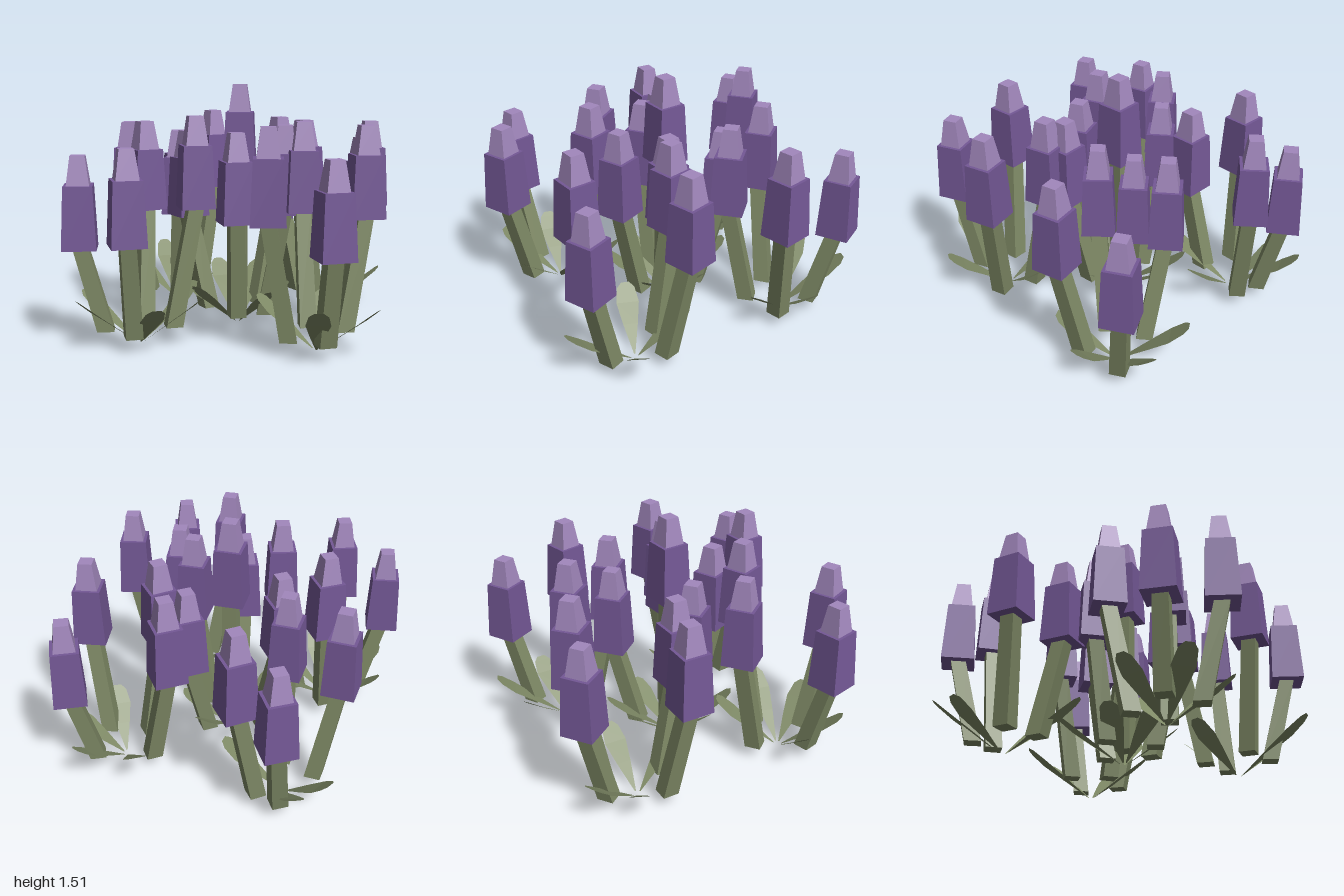
import * as THREE from 'three';

const green = new THREE.MeshStandardMaterial({ color: 0x7f8a66, flatShading: true, side: THREE.DoubleSide });
green.name = 'leafGreen';
const purple = new THREE.MeshStandardMaterial({ color: 0x745896, flatShading: true });
purple.name = 'petalPurple';
const lilac = new THREE.MeshStandardMaterial({ color: 0xa288bd, flatShading: true });
lilac.name = 'tipLilac';

// Clumps: centre [x, z]
// flowers: [head x, head z, top height, turn in degrees]
// leaves: [direction in degrees from +x towards +z, reach]
const clumps = [
  { centre: [-0.51, -0.52],
    flowers: [[-0.56, -0.865, 1.15, 36], [-0.30, -0.80, 1.30, 42], [-0.785, -0.325, 1.245, 0], [-0.42, -0.20, 1.20, 2]],
    leaves: [[204, 0.36], [245, 0.44], [1, 0.39], [66, 0.44]] },
  { centre: [0.54, -0.53],
    flowers: [[0.20, -0.59, 1.27, 40], [0.755, -0.79, 1.12, 30], [0.815, -0.335, 1.266, 14], [0.395, -0.225, 1.275, 45]],
    leaves: [[235, 0.43], [288, 0.43], [-2, 0.35], [57, 0.37]] },
  { centre: [0, 0],
    flowers: [[-0.325, -0.03, 1.215, 39], [0.015, 0, 1.508, 5], [0.185, -0.305, 1.16, 41], [0.04, 0.335, 1.235, 24], [0.315, 0.155, 1.27, 6]],
    leaves: [[243, 0.43], [281, 0.42], [-16, 0.33], [168, 0.36], [121, 0.40], [47, 0.34]] },
  { centre: [-0.51, 0.52],
    flowers: [[-0.55, 0.18, 1.285, 38], [-0.825, 0.65, 1.12, 14], [-0.485, 0.86, 1.185, 24], [-0.19, 0.405, 1.335, 23]],
    leaves: [[193, 0.38], [-48, 0.41], [12, 0.44], [61, 0.38], [137, 0.40]] },
  { centre: [0.54, 0.52],
    flowers: [[0.425, 0.205, 1.295, 14], [0.80, 0.305, 1.285, 17], [0.28, 0.74, 1.303, 7], [0.645, 0.845, 1.143, 24]],
    leaves: [[273, 0.36], [200, 0.38], [25, 0.39], [85, 0.46]] },
];

const STEM_BASE = 0.08, HEAD = 0.54, BODY = 0.37;

// Square tapering post, given its side widths, standing on y = 0
function post(bottom, top, height) {
  return new THREE.CylinderGeometry(top * Math.SQRT1_2, bottom * Math.SQRT1_2, height, 4)
    .rotateY(Math.PI / 4)
    .translate(0, height / 2, 0);
}

function add(group, name, geometry, material, x, y, z) {
  const mesh = new THREE.Mesh(geometry, material);
  mesh.name = name;
  mesh.position.set(x, y, z);
  group.add(mesh);
  return mesh;
}

function makeFlower([x, z, top, turn], [cx, cz]) {
  const flower = new THREE.Group();
  flower.name = 'flower';
  const angle = THREE.MathUtils.degToRad(turn);
  const headY = top - HEAD;

  // Stem leans outward: shear the post so both ends stay level
  const bx = cx + (x - cx) * 0.59, bz = cz + (z - cz) * 0.59;
  const height = headY - STEM_BASE + 0.02;
  const stem = post(0.1, 0.09, height).rotateY(angle);
  const p = stem.attributes.position;
  for (let i = 0; i < p.count; i++) {
    const t = p.getY(i) / height;
    p.setX(i, p.getX(i) + (x - bx) * t);
    p.setZ(i, p.getZ(i) + (z - bz) * t);
  }
  stem.computeVertexNormals();
  add(flower, 'stem', stem, green, bx, STEM_BASE, bz);

  // Blossom: wide lower body and a narrower tip
  add(flower, 'blossomBody', post(0.2, 0.168, BODY), purple, x, headY, z).rotation.y = angle;
  add(flower, 'blossomTip', post(0.132, 0.085, HEAD - BODY), lilac, x, headY + BODY, z).rotation.y = angle;
  return flower;
}

// Blade cross-sections: [fraction of reach, half width, fraction of reach upward]
const BLADE = [[0.06, 0.004, 0.0], [0.45, 0.045, 0.3], [0.74, 0.07, 0.52], [0.93, 0.055, 0.68], [1, 0.025, 0.74]];

function makeLeaf(reach) {
  const points = [], index = [];
  BLADE.forEach(([t, w, h], i) => {
    points.push(t * reach, h * reach, -w, t * reach, h * reach, w);
    if (i) {
      const a = 2 * i - 2;
      index.push(a, a + 1, a + 2, a + 1, a + 3, a + 2);
    }
  });
  const g = new THREE.BufferGeometry();
  g.setAttribute('position', new THREE.Float32BufferAttribute(points, 3));
  g.setIndex(index);
  g.computeVertexNormals();
  return g;
}

export function createModel() {
  const model = new THREE.Group();
  model.name = 'flowerPatch';
  for (const { centre, flowers, leaves } of clumps) {
    const clump = new THREE.Group();
    clump.name = 'clump';
    for (const f of flowers) clump.add(makeFlower(f, centre));
    for (const [direction, reach] of leaves) {
      add(clump, 'leaf', makeLeaf(reach), green, centre[0], 0, centre[1])
        .rotation.y = -THREE.MathUtils.degToRad(direction);
    }
    model.add(clump);
  }
  return model;
}
